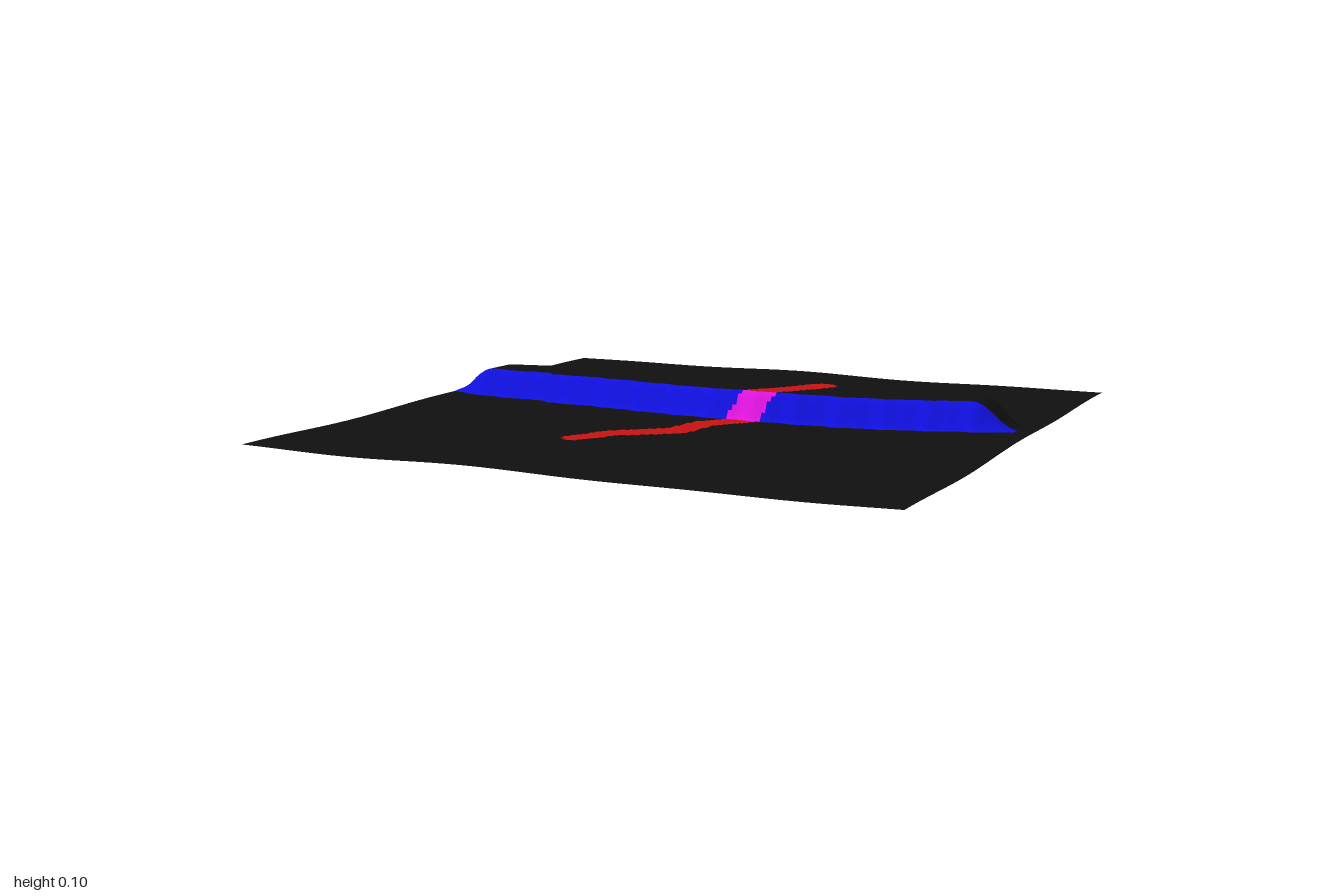
import * as THREE from 'three';
import { mergeVertices } from 'three/addons/utils/BufferGeometryUtils.js';

const { lerp, smoothstep } = THREE.MathUtils;

// Piecewise-linear lookup through [x, value] points
function along(points, x) {
  for (let i = 1; i < points.length; i++) {
    const [x0, v0] = points[i - 1], [x1, v1] = points[i];
    if (x <= x1) return lerp(v0, v1, (x - x0) / (x1 - x0));
  }
  return points[points.length - 1][1];
}

// Cliff line (x, z) and road centre line (x, z)
const cliffLine = [[-1, -0.12], [-0.82, -0.1], [-0.63, -0.085], [-0.59, -0.045], [-0.4, -0.03],
  [-0.2, -0.012], [0, 0.008], [0.2, 0], [0.4, -0.035], [0.53, -0.06], [0.75, -0.095], [0.86, -0.115], [0.94, -0.145], [1, -0.15]];
const roadLine = [[-0.2, 0.475], [-0.13, 0.37], [0.025, 0.27], [0.05, 0.13], [0.15, 0], [0.22, -0.1], [0.29, -0.24]];

function roadDistance(x, z) {
  let best = Infinity;
  for (let i = 1; i < roadLine.length; i++) {
    const [ax, az] = roadLine[i - 1], [bx, bz] = roadLine[i];
    const dx = bx - ax, dz = bz - az;
    const t = THREE.MathUtils.clamp(((x - ax) * dx + (z - az) * dz) / (dx * dx + dz * dz), 0, 1);
    best = Math.min(best, Math.hypot(x - ax - t * dx, z - az - t * dz));
  }
  return best;
}

const inEllipse = (x, z, cx, cz, rx, rz) => ((x - cx) / rx) ** 2 + ((z - cz) / rz) ** 2 < 1;

// Gentle ground waves and the height of the plateau above them
const ground = (x, z) => 0.016 + 0.003 * Math.sin(5.2 * x + 2.4) + 0.003 * Math.cos(7 * z - 0.4)
  + 0.002 * Math.sin(9 * x + 4 * z);
const plateauHeight = (x) => 0.087 * smoothstep(x, -1.02, -0.86) * (1 - smoothstep(x, 0.82, 0.945));

// Strips from front to back: row count and rise of the plateau across each
const strips = [
  { rows: 64, rise: () => 0 },                          // front plain
  { rows: 6, rise: (t) => lerp(t, smoothstep(t, 0, 1), 0.4), cliff: true },
  { rows: 26, rise: () => 1 },                          // plateau top
  { rows: 14, rise: (t) => 1 - smoothstep(t, 0, 1) },   // back slope
  { rows: 22, rise: () => 0 },                          // back plain
];

// z of the strip borders at a given x
function borders(x) {
  const c = along(cliffLine, x) + 0.004 * Math.sin(47 * x) + 0.002 * Math.sin(93 * x);
  const bulge = 1 - x ** 4;
  return [1, c + 0.024, c - 0.022, -0.18 - 0.15 * bulge, -0.24 - 0.26 * bulge, -1];
}

export function createModel() {
  const materials = {};
  const colors = { ground: 0x101010, cliff: 0x1010e0, road: 0xc81212, crossing: 0xe014e0, pool: 0x101038 };
  for (const [name, color] of Object.entries(colors)) {
    materials[name] = new THREE.MeshStandardMaterial({ color, side: THREE.DoubleSide });
    materials[name].name = name + 'Color';
  }

  // Rows of points, bent to follow the cliff and the slopes
  const columns = 180;
  const positions = [], cliffRow = [];
  strips.forEach((strip, s) => {
    const last = s === strips.length - 1 ? strip.rows : strip.rows - 1;
    for (let r = 0; r <= last; r++) {
      const t = r / strip.rows;
      cliffRow.push(!!strip.cliff);
      for (let i = 0; i <= columns; i++) {
        const x = -1 + 2 * i / columns;
        const edge = borders(x);
        const z = lerp(edge[s], edge[s + 1], t);
        positions.push(x, ground(x, z) + plateauHeight(x) * strip.rise(t), z);
      }
    }
  });

  // Sort the cells of the sheet by part
  const cells = { ground: [], cliff: [], road: [], crossing: [], pool: [] };
  const width = columns + 1;
  for (let j = 0; j < cliffRow.length - 1; j++) {
    for (let i = 0; i < columns; i++) {
      const a = j * width + i, b = a + 1, c = a + width, d = c + 1;
      const x = (positions[3 * a] + positions[3 * d]) / 2;
      const z = (positions[3 * a + 2] + positions[3 * d + 2]) / 2;
      const onRoad = roadDistance(x, z) < 0.043;
      let part = 'ground';
      if (cliffRow[j] && x < 0.94) part = onRoad ? 'crossing' : 'cliff';
      else if (onRoad) part = 'road';
      else if (inEllipse(x, z, 0.16, -0.38, 0.135, 0.03) || inEllipse(x, z, -0.485, -0.425, 0.018, 0.008)) part = 'pool';
      cells[part].push(a, b, c, b, d, c);
    }
  }

  // Smooth normals over the whole sheet, then one mesh for each part
  const sheet = new THREE.BufferGeometry();
  sheet.setAttribute('position', new THREE.Float32BufferAttribute(positions, 3));
  sheet.setIndex(Object.values(cells).flat());
  sheet.computeVertexNormals();

  const model = new THREE.Group();
  model.name = 'terrain';
  for (const [name, index] of Object.entries(cells)) {
    sheet.setIndex(index);
    const mesh = new THREE.Mesh(mergeVertices(sheet.toNonIndexed()), materials[name]);
    mesh.name = name;
    model.add(mesh);
  }
  return model;
}
